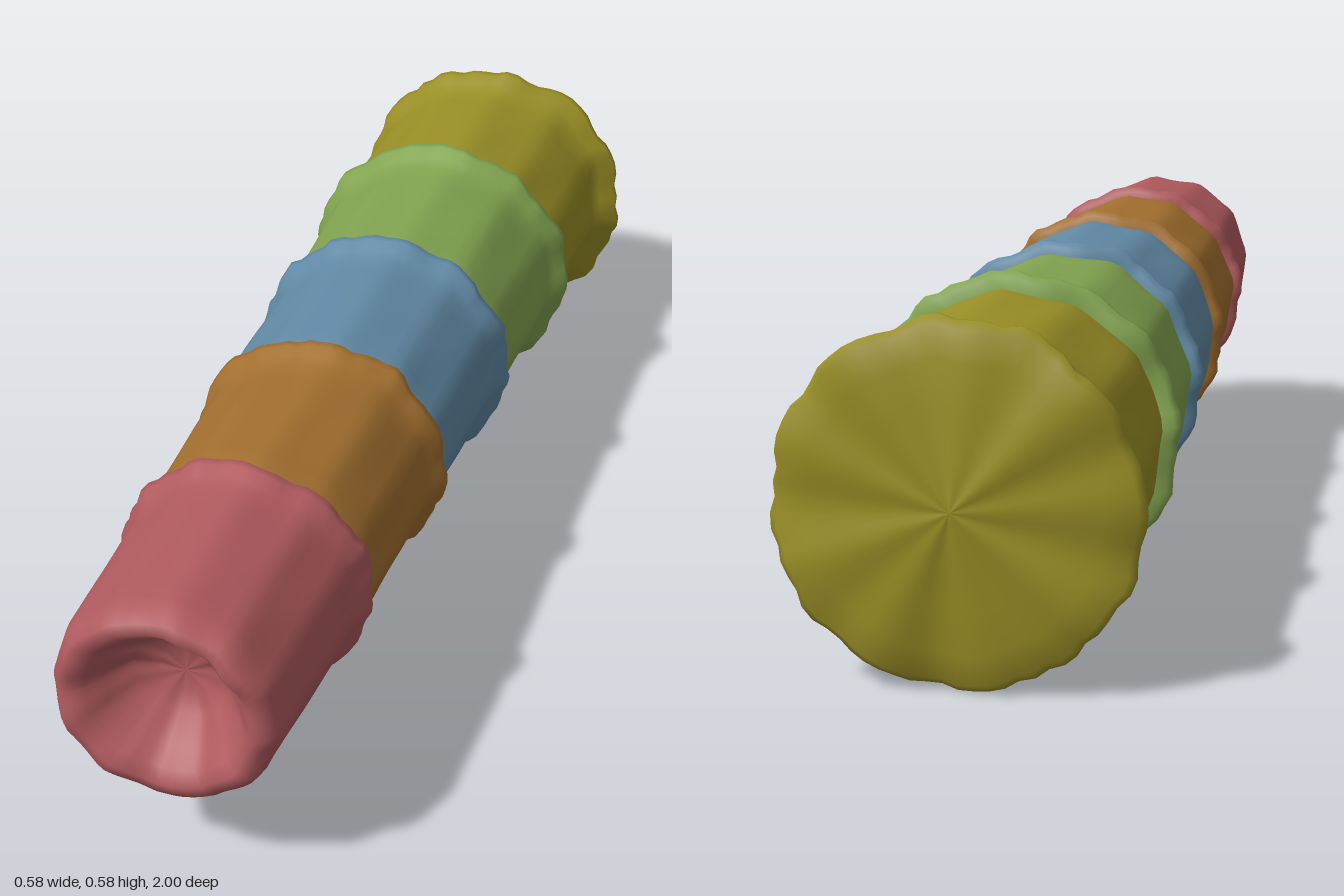
import * as THREE from 'three';

const SEG = 72, SIDES = 12;

// Soft twelve-sided outline with a gentle hand-made wobble
function outline(a, z, ripple) {
  const step = (Math.PI * 2) / SIDES;
  const m = (((a + 0.12) % step) + step) % step - step / 2;
  const flat = Math.cos(step / 2) / Math.cos(m) * 1.012;
  const wobble = 0.006 * Math.sin(5 * a + 9 * z) + 0.004 * Math.sin(11 * a - 23 * z + 1);
  return flat + wobble + ripple * Math.sin(24 * a + 2 * Math.sin(3 * a + z * 7));
}

// Skins rings of [z, radius, centreX, centreY, ripple], listed front to back
function loft(name, color, rings) {
  const pos = [], idx = [];
  rings.forEach(([z, r, cx, cy, ripple = 0]) => {
    for (let i = 0; i < SEG; i++) {
      const a = (i / SEG) * Math.PI * 2, k = r * outline(a, z, ripple);
      const dz = 0.02 * r * (Math.sin(4 * a + z * 5) + Math.sin(9 * a + 2)) ;
      pos.push(cx + k * Math.cos(a), cy + k * Math.sin(a), z + dz);
    }
  });
  for (let j = 0; j < rings.length - 1; j++) {
    for (let i = 0; i < SEG; i++) {
      const n = (i + 1) % SEG, a = j * SEG, b = a + SEG;
      idx.push(a + i, b + i, b + n, a + i, b + n, a + n);
    }
  }
  const g = new THREE.BufferGeometry();
  g.setAttribute('position', new THREE.Float32BufferAttribute(pos, 3));
  g.setIndex(idx);
  g.computeVertexNormals();
  const mesh = new THREE.Mesh(g, new THREE.MeshStandardMaterial({ color }));
  mesh.name = name;
  return mesh;
}

// The stack drifts sideways and down as it widens toward the back
const cx = (z) => -0.034 - 0.026 * z;
const cy = (z) => 0.335 + 0.035 * z;
const ring = (z, r, ripple) => [z, r, cx(z), cy(z), ripple];

// name, colour, front z, rim z, front radius, back radius, rim radius
const CUPS = [
  ['redCup', 0xb05a5e, 0.99, 0.6, 0.19, 0.204, 0.222],
  ['orangeCup', 0xa3702f, 0.6, 0.21, 0.207, 0.217, 0.236],
  ['blueCup', 0x628aa6, 0.21, -0.18, 0.22, 0.228, 0.25],
  ['greenCup', 0x82a450, -0.18, -0.57, 0.232, 0.245, 0.271],
  ['yellowCup', 0x9a8f26, -0.57, -0.955, 0.245, 0.255, 0.29],
];

export function createModel() {
  const model = new THREE.Group();
  model.name = 'stackedCups';

  CUPS.forEach(([name, color, z0, z1, r0, r1, rim], k) => {
    const rings = [];
    if (k === 0) {
      // Hollow in the small end, with a rounded lip
      rings.push([0.89, 0, -0.05, 0.38], [0.89, 0.04, -0.05, 0.38], [0.905, 0.08, -0.053, 0.38],
        [0.945, 0.112, -0.055, 0.378], [0.975, 0.132, -0.057, 0.375], [0.99, 0.152, -0.06, 0.371],
        ring(0.985, 0.172), ring(0.968, 0.185), ring(0.94, 0.191));
    } else {
      // Tucked under the rim in front
      rings.push(ring(z0 + 0.01, r0 - 0.01), ring(z0 - 0.03, r0));
    }
    // Wall
    const start = k === 0 ? 0.94 : z0 - 0.03;
    for (let i = 1; i <= 8; i++) {
      const t = i / 8;
      rings.push(ring(THREE.MathUtils.lerp(start, z1 + 0.05, t), THREE.MathUtils.lerp(r0, r1, t)));
    }
    // Flared, scalloped rim
    const last = k === CUPS.length - 1;
    const rc = last ? [0.001, 0.295] : [cx(z1), cy(z1) + 0.002];
    rings.push(ring(z1 + 0.026, r1 + (rim - r1) * 0.4, 0.004),
      [z1 + 0.008, rim - 0.002, ...rc, 0.01], [z1 - 0.006, rim, ...rc, 0.01]);
    if (last) {
      // Closed, slightly bulging wide end
      rings.push([z1 - 0.018, rim - 0.012, ...rc, 0.008], [-0.982, 0.23, ...rc],
        [-0.987, 0.16, ...rc], [-0.994, 0.08, ...rc], [-1, 0, ...rc]);
    } else {
      rings.push([z1 - 0.016, rim - 0.01, ...rc, 0.006], [z1 - 0.02, r1 - 0.008, ...rc]);
    }
    model.add(loft(name, color, rings));
  });
  return model;
}
